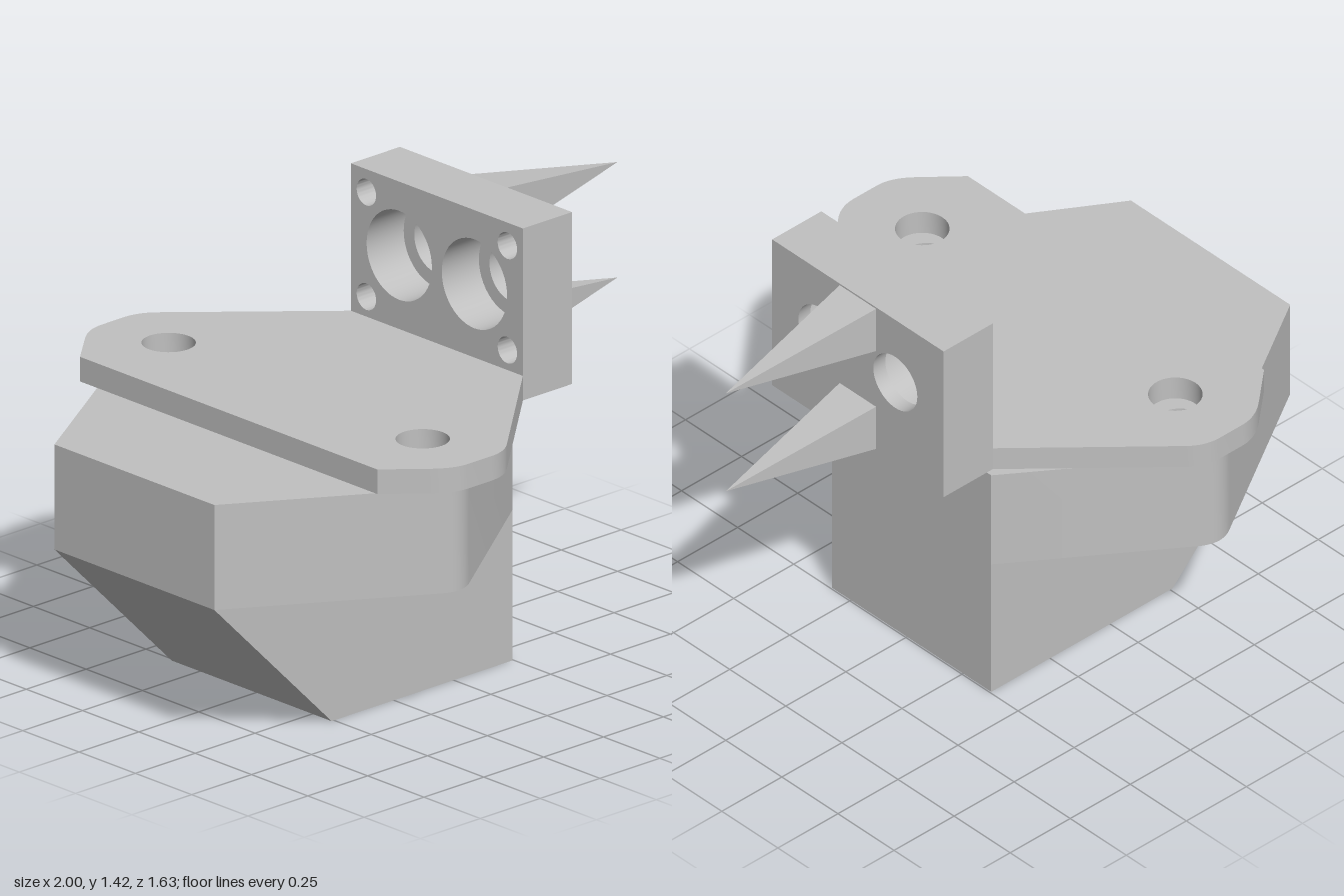
import * as THREE from 'three';
import { toCreasedNormals } from 'three/addons/utils/BufferGeometryUtils.js';

const grey = new THREE.MeshStandardMaterial({ color: 0xc0c0c0 });
grey.name = 'grey';

function extrude(shape, depth) {
  const geo = new THREE.ExtrudeGeometry(shape, { depth, bevelEnabled: false, curveSegments: 24 });
  return toCreasedNormals(geo, 0.5);
}

// Plan outline (x, z): one half as a path, mirrored over z = 0
function mirroredShape(half) {
  const pts = half.getPoints(10);
  const mirrored = pts.map((p) => new THREE.Vector2(p.x, -p.y)).reverse();
  return new THREE.Shape(pts.concat(mirrored));
}

function addHole(shape, x, y, r) {
  const hole = new THREE.Path();
  hole.absarc(x, y, r, 0, Math.PI * 2, true);
  shape.holes.push(hole);
}

// Lays a plan shape flat with its top at the given height
function slab(shape, top, thickness) {
  return extrude(shape, thickness).rotateX(Math.PI / 2).translate(0, top, 0);
}

// Upright rectangle (z, y) with mirrored holes, extruded along x
function uprightLayer(x0, x1, holes) {
  const s = new THREE.Shape();
  s.moveTo(-0.382, 0.86);
  s.lineTo(0.382, 0.86);
  s.lineTo(0.382, 1.42);
  s.lineTo(-0.382, 1.42);
  for (const [z, y, r] of holes) for (const side of [-1, 1]) addHole(s, side * z, y, r);
  return extrude(s, x1 - x0).rotateY(Math.PI / 2).translate(x0, 0, 0);
}

export function createModel() {
  const group = new THREE.Group();
  const add = (name, geo) => {
    const mesh = new THREE.Mesh(geo, grey);
    mesh.name = name;
    group.add(mesh);
  };

  // Sloped lower body
  const keel = new THREE.Shape();
  keel.moveTo(-1, 0.49);
  keel.lineTo(-0.51, 0);
  keel.lineTo(0.245, 0);
  keel.lineTo(0.245, 0.49);
  add('lowerBody', extrude(keel, 0.71).translate(0, 0, -0.375));

  // Winged block with rounded tips and bolt holes, slightly off centre
  const wing = new THREE.Path();
  wing.moveTo(0.245, 0.355);
  wing.lineTo(-0.282, 0.722);
  wing.quadraticCurveTo(-0.344, 0.762, -0.405, 0.722);
  wing.lineTo(-1, 0.355);
  const wingShape = mirroredShape(wing);
  for (const side of [-1, 1]) addHole(wingShape, -0.345, side * 0.564, 0.083);
  add('wingBlock', slab(wingShape, 0.832, 0.342).translate(0, 0, -0.02));

  // Thin mounting plate floating just above the block
  const plate = new THREE.Path();
  plate.moveTo(0.245, 0.382);
  plate.lineTo(-0.19, 0.773);
  plate.quadraticCurveTo(-0.236, 0.815, -0.295, 0.815);
  plate.lineTo(-0.39, 0.815);
  plate.quadraticCurveTo(-0.448, 0.815, -0.505, 0.765);
  plate.lineTo(-0.625, 0.66);
  const plateShape = mirroredShape(plate);
  for (const side of [-1, 1]) addHole(plateShape, -0.345, side * 0.564, 0.083);
  add('mountingPlate', slab(plateShape, 0.94, 0.08));

  // Upright: wide sockets and corner screw holes behind, narrow openings in front
  add('uprightBack', uprightLayer(0.245, 0.4, [
    [0.167, 1.18, 0.145], [0.313, 1.345, 0.043], [0.313, 1.005, 0.043],
  ]));
  add('uprightFront', uprightLayer(0.4, 0.45, [[0.167, 1.18, 0.098]]));

  // Square spikes pointing to +x
  for (const [name, y] of [['upperSpike', 1.333], ['lowerSpike', 0.957]]) {
    const spike = new THREE.ConeGeometry(0.081 * Math.SQRT2, 0.55, 4, 1).toNonIndexed();
    spike.rotateY(Math.PI / 4).rotateZ(-Math.PI / 2).translate(0.725, y, 0);
    spike.computeVertexNormals();
    add(name, spike);
  }

  return group;
}
